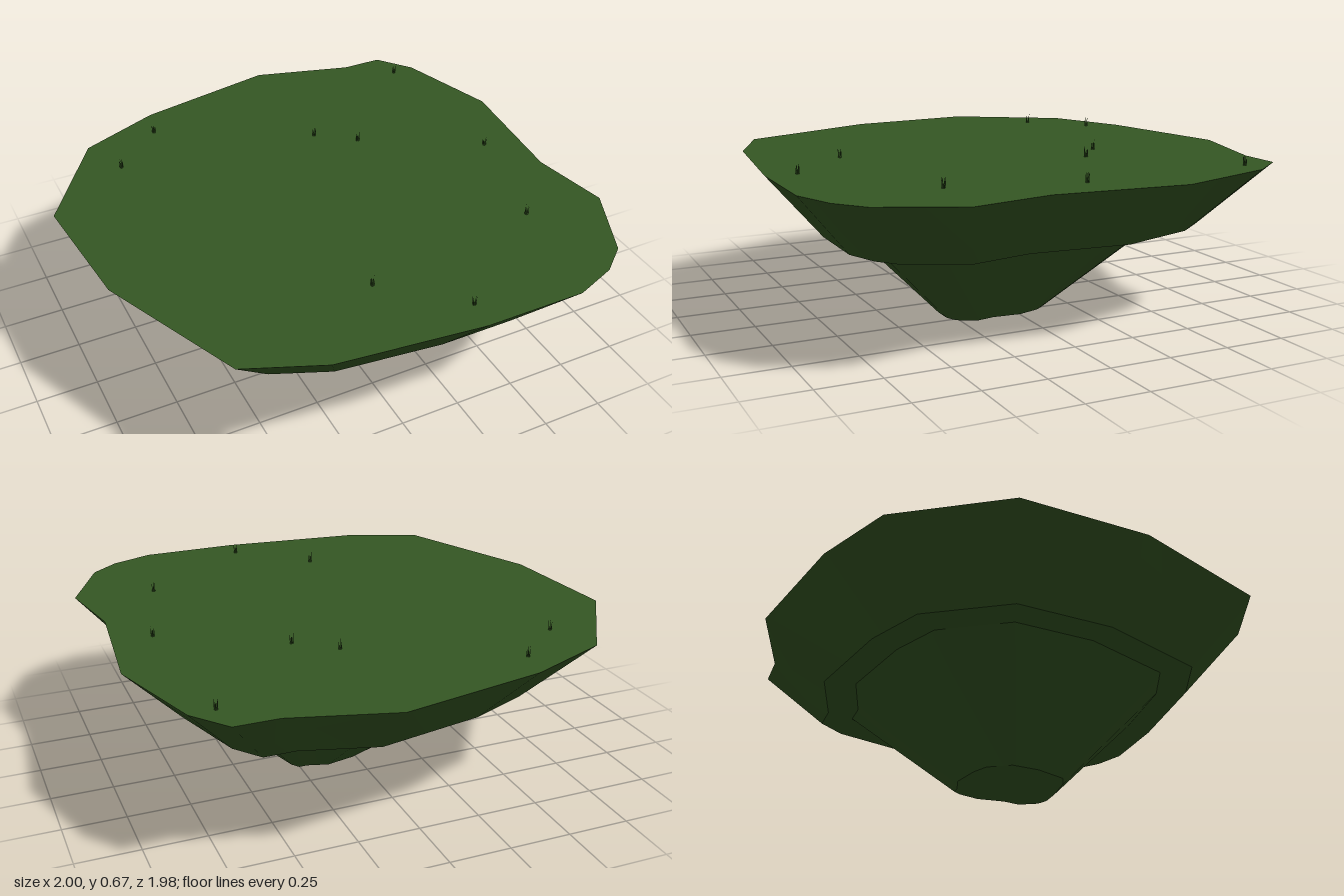
import * as THREE from 'three';

// Island outline seen from above, as [x, z]
const OUTLINE = [
  [0.18, -0.99], [0.58, -0.875], [0.75, -0.875], [0.86, -0.735], [0.99, -0.32],
  [0.94, 0.21], [1.0, 0.53], [0.86, 0.83], [0.75, 0.92], [0.58, 0.985],
  [0.18, 0.985], [-0.4, 0.92], [-0.7, 0.795], [-0.95, 0.21], [-1.0, -0.32],
  [-0.73, -0.735], [-0.4, -0.875],
];

// Outline scaled and shifted for one level of the island
const ring = (sx, sz, dx, dz) => OUTLINE.map(([x, z]) => [x * sx + dx, z * sz + dz]);

// Smooth sloping wall between two rings
function wallGeometry(lower, yLow, upper, yHigh) {
  const n = lower.length;
  const positions = [];
  const index = [];
  lower.forEach(([x, z]) => positions.push(x, yLow, z));
  upper.forEach(([x, z]) => positions.push(x, yHigh, z));
  for (let i = 0; i < n; i++) {
    const j = (i + 1) % n;
    index.push(i, n + i, n + j, i, n + j, j);
  }
  const geometry = new THREE.BufferGeometry();
  geometry.setAttribute('position', new THREE.Float32BufferAttribute(positions, 3));
  geometry.setIndex(index);
  geometry.computeVertexNormals();
  return geometry;
}

// Flat cap facing up (dir = 1) or down (dir = -1), optionally with a hole
function capGeometry(points, y, dir, hole) {
  const toVec = ([x, z]) => new THREE.Vector2(x, -dir * z);
  const shape = new THREE.Shape(points.map(toVec));
  if (hole) shape.holes.push(new THREE.Path(hole.map(toVec)));
  return new THREE.ShapeGeometry(shape).rotateX(-dir * Math.PI / 2).translate(0, y, 0);
}

export function createModel() {
  const model = new THREE.Group();
  const ground = new THREE.MeshStandardMaterial({ color: 0x355723 });
  const grass = new THREE.MeshStandardMaterial({ color: 0x355723, side: THREE.DoubleSide });

  const add = (name, geometry) => {
    const mesh = new THREE.Mesh(geometry, ground);
    mesh.name = name;
    model.add(mesh);
  };

  // Upper and lower tapering tiers with a narrow ledge between them
  const TOP = 0.625, LEDGE = 0.365;
  const rim = ring(1, 1, 0, 0);
  const ledgeOuter = ring(0.745, 0.755, 0.015, 0.016);
  const ledgeInner = ring(0.615, 0.63, 0.015, 0.02);
  const foot = ring(0.21, 0.22, 0.095, 0.067);
  add('topSurface', capGeometry(rim, TOP, 1));
  add('upperSlope', wallGeometry(ledgeOuter, LEDGE, rim, TOP));
  add('ledge', capGeometry(ledgeOuter, LEDGE, -1, ledgeInner));
  add('lowerSlope', wallGeometry(foot, 0, ledgeInner, LEDGE));
  add('base', capGeometry(foot, 0, -1));

  // Small tufts of thin, slightly leaning blades
  const blade = new THREE.ConeGeometry(0.0025, 1, 4).translate(0, 0.5, 0);
  const tufts = [
    [-0.65, -0.53], [-0.435, -0.73], [0.76, -0.73], [0.18, -0.4], [0.33, -0.28],
    [0.8, -0.01], [0.675, 0.49], [-0.08, 0.61], [0.195, 0.865],
  ];
  tufts.forEach(([x, z], t) => {
    const tuft = new THREE.Group();
    tuft.name = 'grassTuft';
    tuft.position.set(x, TOP, z);
    for (let i = 0; i < 6; i++) {
      const a = (i / 6) * Math.PI * 2 + t;
      const mesh = new THREE.Mesh(blade, grass);
      mesh.name = 'grassBlade';
      mesh.position.set(Math.cos(a) * 0.005, 0, Math.sin(a) * 0.005);
      mesh.rotation.set(Math.sin(a) * 0.08, 0, -Math.cos(a) * 0.08);
      mesh.scale.y = 0.032 + 0.006 * (i % 3);
      tuft.add(mesh);
    }
    model.add(tuft);
  });

  return model;
}
